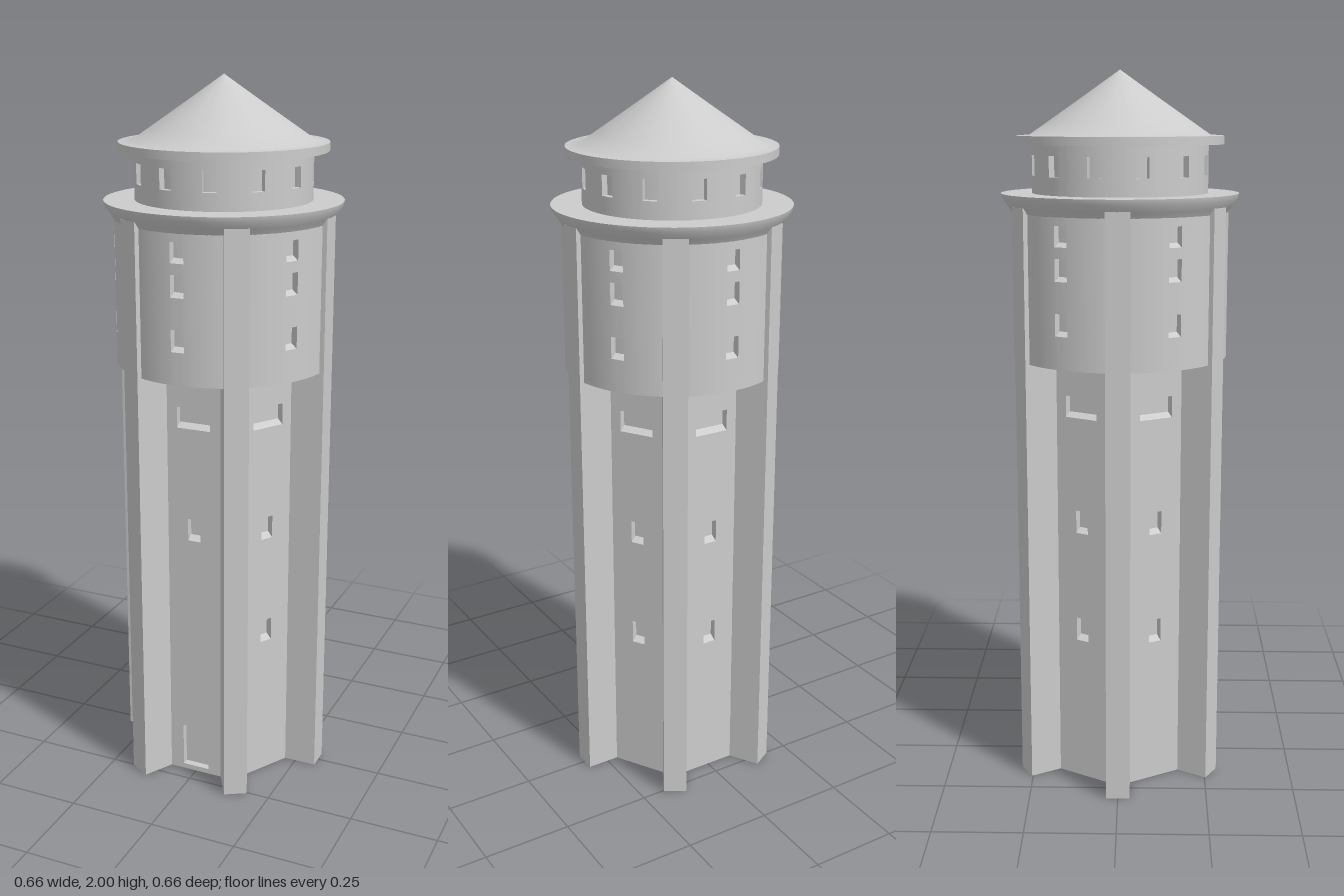
import * as THREE from 'three';
import { mergeGeometries, toCreasedNormals } from 'three/addons/utils/BufferGeometryUtils.js';

const STEP = Math.PI / 3;
const APOTHEM = 0.205;
const RECESS = 0.02;

export function createModel() {
  const tower = new THREE.Group();
  tower.name = 'waterTower';
  const stone = new THREE.MeshStandardMaterial({ color: 0xcccccc });
  stone.name = 'pale grey stone';

  function add(name, geometry, parent = tower) {
    const mesh = new THREE.Mesh(geometry, stone);
    mesh.name = name;
    parent.add(mesh);
    return mesh;
  }

  // Solid arc of wall between two radii, two angles and two heights
  function sector(rIn, rOut, a0, a1, y0, y1) {
    const s = new THREE.Shape();
    s.absarc(0, 0, rOut, a0, a1, false);
    s.absarc(0, 0, rIn, a1, a0, true);
    const curveSegments = Math.max(2, Math.round((a1 - a0) / 0.09));
    const g = new THREE.ExtrudeGeometry(s, { depth: y1 - y0, bevelEnabled: false, curveSegments });
    return g.rotateX(-Math.PI / 2).translate(0, y0, 0);
  }

  // Round wall with columns of window openings
  function windowedRing(rIn, rOut, y0, y1, count, first, halfAngle, openings) {
    const parts = [];
    const step = (Math.PI * 2) / count;
    for (let i = 0; i < count; i++) {
      const c = first + i * step;
      parts.push(sector(rIn, rOut, c + halfAngle, c + step - halfAngle, y0, y1));
      let y = y0;
      for (const [low, high] of [...openings, [y1, y1]]) {
        parts.push(sector(rIn, rOut, c - halfAngle, c + halfAngle, y, low));
        y = high;
      }
    }
    return toCreasedNormals(mergeGeometries(parts), 0.5);
  }

  // Sloping window sill, deepest at the back of the recess
  function sill(width, y, front) {
    const s = new THREE.Shape();
    s.moveTo(0, 0);
    s.lineTo(RECESS, 0);
    s.lineTo(RECESS, 0.012);
    const g = new THREE.ExtrudeGeometry(s, { depth: width, bevelEnabled: false });
    return g.rotateY(Math.PI / 2).translate(-width / 2, y, front);
  }

  // Hexagonal shaft core
  const core = new THREE.CylinderGeometry(0.185 / Math.cos(STEP / 2), 0.185 / Math.cos(STEP / 2), 1.23, 6);
  add('shaftCore', toCreasedNormals(core.rotateY(STEP / 2).translate(0, 0.615, 0), 0.5));

  // Six shaft panels with recessed openings, and six corner fins
  for (let k = 0; k < 6; k++) {
    const side = new THREE.Group();
    side.name = 'shaftSide' + (k + 1);
    side.rotation.y = k * STEP;
    tower.add(side);

    const panel = new THREE.Shape();
    panel.moveTo(-0.11, 0);
    panel.lineTo(0.11, 0);
    panel.lineTo(0.11, 1.23);
    panel.lineTo(-0.11, 1.23);
    const openings = [[0.1, 1.07, 1.13], [0.038, 0.74, 0.805]];
    openings.push(k === 0 ? [0.08, 0.015, 0.145] : [0.038, 0.42, 0.487]);
    openings.forEach(([w, low, high], i) => {
      const hole = new THREE.Path();
      hole.moveTo(-w / 2, low);
      hole.lineTo(-w / 2, high);
      hole.lineTo(w / 2, high);
      hole.lineTo(w / 2, low);
      panel.holes.push(hole);
      if (!(k === 0 && i === 2)) add('shaftSill', sill(w, low, APOTHEM), side);
    });
    const wall = new THREE.ExtrudeGeometry(panel, { depth: RECESS, bevelEnabled: false });
    add('shaftPanel', wall.translate(0, 0, APOTHEM - RECESS), side);

    // Sills of the three tank windows above
    for (const y of [1.31, 1.455, 1.545]) add('tankSill', sill(0.038, y, 0.298), side);

    const fin = new THREE.BoxGeometry(0.131, 1.64, 0.066).translate(0.2455, 0.82, 0);
    add('cornerFin', fin, side);
  }

  // Tank drum
  add('tankWall', windowedRing(0.28, 0.3, 1.22, 1.625, 6, Math.PI / 2, 0.064,
    [[1.31, 1.37], [1.455, 1.515], [1.545, 1.6]]));
  add('tankCore', new THREE.CylinderGeometry(0.28, 0.28, 0.405, 72).translate(0, 1.4225, 0));

  // Flared cornice
  const cornice = [[0.27, 1.622], [0.3, 1.622], [0.309, 1.637], [0.325, 1.658], [0.328, 1.672], [0.22, 1.672]];
  add('cornice', toCreasedNormals(
    new THREE.LatheGeometry(cornice.map(([x, y]) => new THREE.Vector2(x, y)), 72), 0.6));

  // Lantern with twelve windows
  add('lanternWall', windowedRing(0.225, 0.243, 1.67, 1.81, 12, STEP / 4, 0.078, [[1.72, 1.775]]));
  add('lanternCore', new THREE.CylinderGeometry(0.225, 0.225, 0.14, 72).translate(0, 1.74, 0));

  // Conical roof with a flat brim
  const roof = [[0.2, 1.803], [0.285, 1.803], [0.285, 1.826], [0.248, 1.828], [0.2, 1.861], [0.1, 1.93], [0, 2]];
  add('roof', toCreasedNormals(
    new THREE.LatheGeometry(roof.map(([x, y]) => new THREE.Vector2(x, y)), 72), 0.75));

  return tower;
}
